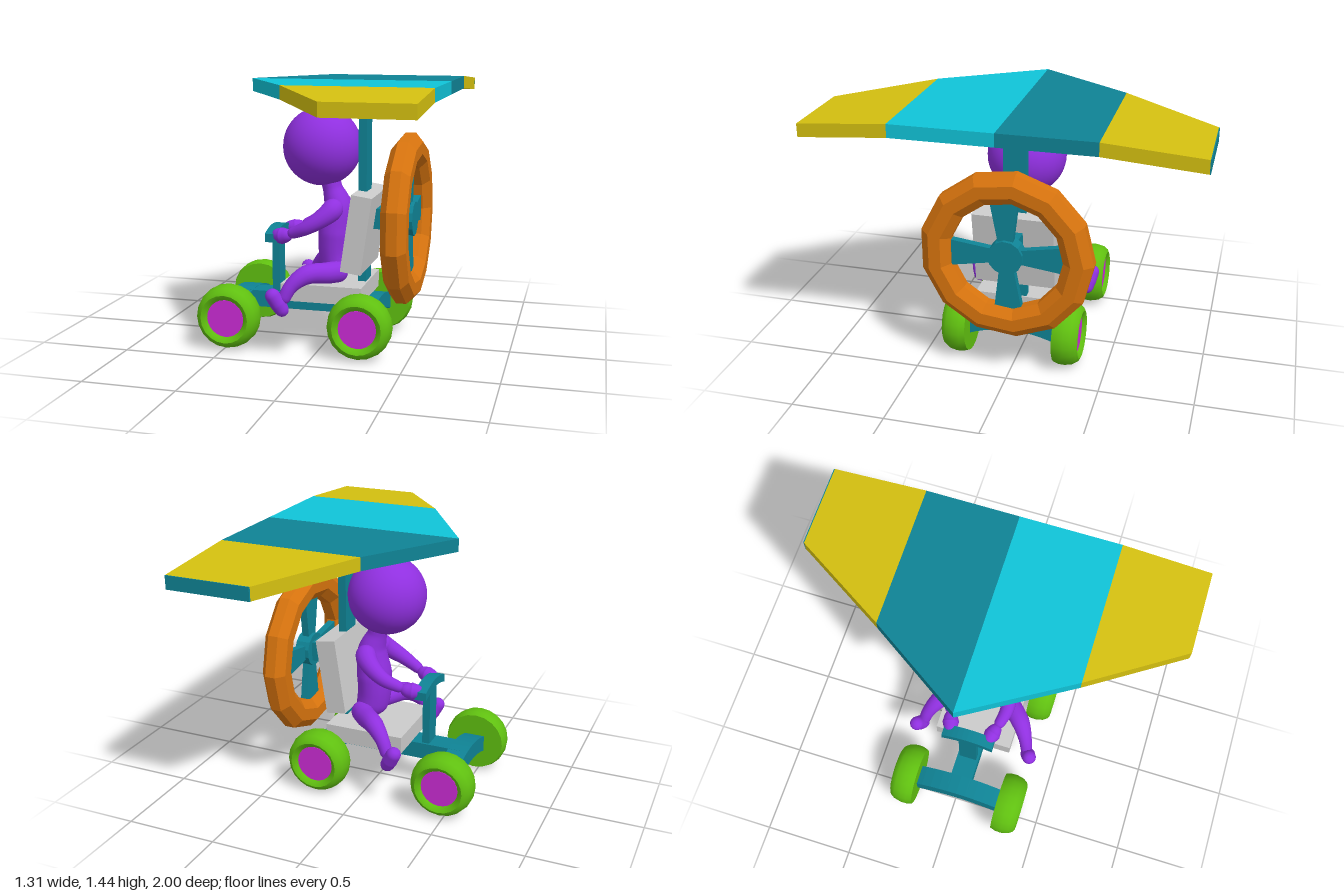
import * as THREE from 'three';
import { mergeVertices, toCreasedNormals } from 'three/addons/utils/BufferGeometryUtils.js';

const mat = (color, flatShading = false) => new THREE.MeshStandardMaterial({ color, flatShading });
const TEAL = mat(0x0f8395), CYAN = mat(0x10c4d8), YELLOW = mat(0xd4c010), GREY = mat(0xcccccc);
const GREEN = mat(0x60c010), MAGENTA = mat(0xcc2cd6), PURPLE = mat(0x9030e0), ORANGE = mat(0xd8740e, true);

function add(parent, name, geometry, material, x = 0, y = 0, z = 0) {
  const mesh = new THREE.Mesh(geometry, material);
  mesh.name = name;
  mesh.position.set(x, y, z);
  parent.add(mesh);
  return mesh;
}

const box = (w, h, d) => new THREE.BoxGeometry(w, h, d);

// Rounded tube whose radius follows a list, flattened or widened along z
function limb(points, radii, widen = 1) {
  const n = 36, sides = 16;
  const curve = new THREE.CatmullRomCurve3(points.map(p => new THREE.Vector3(...p)));
  const g = new THREE.TubeGeometry(curve, n, 1, sides);
  const pos = g.attributes.position, len = curve.getLength(), v = new THREE.Vector3();
  for (let i = 0; i <= n; i++) {
    const u = i / n, c = curve.getPointAt(u);
    const t = curve.getUtoTmapping(u) * (radii.length - 1);
    const k = Math.min(Math.floor(t), radii.length - 2);
    let r = THREE.MathUtils.lerp(radii[k], radii[k + 1], t - k);
    const d = Math.min(u, 1 - u) * len;
    if (d < r) r *= Math.sqrt(Math.max(0, 1 - (1 - d / r) ** 2));
    for (let j = 0; j <= sides; j++) {
      const id = i * (sides + 1) + j;
      v.fromBufferAttribute(pos, id).sub(c).multiplyScalar(r);
      v.z *= widen;
      v.add(c);
      pos.setXYZ(id, v.x, v.y, v.z);
    }
  }
  g.deleteAttribute('uv');
  g.deleteAttribute('normal');
  const smooth = mergeVertices(g, 1e-5);
  smooth.computeVertexNormals();
  return smooth;
}

// Bar across the vehicle that droops towards both ends
function archBar(half, drop, thick, depth) {
  const n = 10, top = [], bottom = [];
  for (let i = 0; i <= n; i++) {
    const s = (i / n) * 2 - 1, y = -drop * s * s;
    top.push(new THREE.Vector2(s * half, y));
    bottom.unshift(new THREE.Vector2(s * half, y - thick));
  }
  const g = new THREE.ExtrudeGeometry(new THREE.Shape([...top, ...bottom]), { depth, bevelEnabled: false });
  return g.translate(0, 0, -depth / 2).rotateY(Math.PI / 2);
}

// Slab of wing from plan corners [x, z]; the outer parts slope down
function wingPanel(corners) {
  const shape = new THREE.Shape(corners.map(([x, z]) => new THREE.Vector2(x, -z)));
  const g = new THREE.ExtrudeGeometry(shape, { depth: 0.07, bevelEnabled: false }).rotateX(-Math.PI / 2);
  const pos = g.attributes.position;
  for (let i = 0; i < pos.count; i++) {
    const z = pos.getZ(i), kink = z > 0 ? 0.535 : 0.495;
    pos.setY(i, pos.getY(i) - 0.037 * Math.max(0, (Math.abs(z) - kink) / (1 - kink)));
  }
  g.computeVertexNormals();
  return g;
}

function makeWheel() {
  const wheel = new THREE.Group();
  const profile = [[0, -0.07], [0.163, -0.07], [0.173, -0.04], [0.174, -0.005], [0.165, 0.035],
    [0.148, 0.06], [0.132, 0.068], [0.115, 0.06], [0.1, 0.04]].map(p => new THREE.Vector2(...p));
  add(wheel, 'tyre', toCreasedNormals(new THREE.LatheGeometry(profile, 20), 0.8), GREEN);
  add(wheel, 'hub', new THREE.CylinderGeometry(0.102, 0.102, 0.02, 24), MAGENTA, 0, 0.036, 0);
  return wheel;
}

function makeWing() {
  const wing = new THREE.Group();
  wing.name = 'wing';
  wing.position.y = 1.375;
  const back = 0.655, tip = 0.21, kink = -0.11, nose = -0.435, e = 0.995;
  const panels = [
    ['leftInnerPanel', CYAN, [[nose, 0], [kink, 0.535], [back, 0.535], [back, 0]]],
    ['rightInnerPanel', TEAL, [[nose, 0], [kink, -0.495], [back, -0.495], [back, 0]]],
    ['leftOuterPanel', YELLOW, [[kink, 0.535], [tip, 1], [back, 1], [back, 0.535]]],
    ['rightOuterPanel', YELLOW, [[kink, -0.495], [tip - 0.003, -e], [back, -e], [back, -0.495]]],
    ['rightTipEdge', TEAL, [[tip - 0.003, -e], [tip, -1], [back, -1], [back, -e]]],
  ];
  for (const [name, material, corners] of panels) add(wing, name, wingPanel(corners), material);
  return wing;
}

function makePropeller() {
  const prop = new THREE.Group();
  prop.name = 'propeller';
  prop.position.set(0.437, 0.71, 0.006);
  // Thirteen-sided guard ring with an eight-sided section
  const section = [];
  for (let i = 0; i <= 8; i++) {
    const a = (i - 0.5) * Math.PI / 4, r = 0.08 / Math.cos(Math.PI / 8);
    section.push(new THREE.Vector2(0.38 + r * Math.cos(a), 0.84 * r * Math.sin(a)));
  }
  const ring = new THREE.LatheGeometry(section, 13, Math.PI).rotateZ(Math.PI / 2);
  add(prop, 'guardRing', ring, ORANGE);
  // Hub and flared blades
  const hub = new THREE.CylinderGeometry(0.093, 0.093, 0.08, 13).rotateZ(Math.PI / 2);
  add(prop, 'propellerHub', toCreasedNormals(hub, 0.3), TEAL);
  const outline = [[-0.035, 0.05], [0.035, 0.05], [0.078, 0.33], [-0.078, 0.33]];
  const shape = new THREE.Shape(outline.map(p => new THREE.Vector2(...p)));
  const blade = new THREE.ExtrudeGeometry(shape, { depth: 0.04, bevelEnabled: false })
    .translate(0, 0, -0.02).rotateY(Math.PI / 2);
  for (let i = 0; i < 4; i++) add(prop, 'blade', blade, TEAL).rotation.x = i * Math.PI / 2 + 0.03;
  return prop;
}

function makeRider() {
  const rider = new THREE.Group();
  rider.name = 'rider';
  add(rider, 'head', new THREE.SphereGeometry(0.213, 32, 24), PURPLE, -0.036, 1.087, 0);
  add(rider, 'torso', limb(
    [[0.0, 0.95, 0], [0.022, 0.86, 0], [0.052, 0.76, 0], [0.04, 0.62, 0], [0.04, 0.5, 0], [0.07, 0.37, 0]],
    [0.055, 0.052, 0.078, 0.095, 0.09, 0.09], 1.2), PURPLE);
  for (const s of [1, -1]) {
    add(rider, 'arm', limb(
      [[0.055, 0.79, s * 0.05], [0.04, 0.75, s * 0.11], [-0.07, 0.67, s * 0.16], [-0.19, 0.615, s * 0.135]],
      [0.055, 0.058, 0.04, 0.028]), PURPLE);
    add(rider, 'hand', limb([[-0.17, 0.62, s * 0.14], [-0.23, 0.605, s * 0.12], [-0.29, 0.61, s * 0.105]],
      [0.028, 0.046, 0.03]), PURPLE);
    add(rider, 'leg', limb(
      [[0.11, 0.415, s * 0.05], [0.03, 0.42, s * 0.15], [-0.06, 0.425, s * 0.24],
        [-0.13, 0.37, s * 0.29], [-0.175, 0.28, s * 0.315]],
      [0.06, 0.058, 0.052, 0.038, 0.032]), PURPLE);
    add(rider, 'foot', limb([[-0.155, 0.215, s * 0.31], [-0.19, 0.28, s * 0.328], [-0.235, 0.36, s * 0.35]],
      [0.034, 0.042, 0.038]), PURPLE);
  }
  return rider;
}

export function createModel() {
  const model = new THREE.Group();
  model.name = 'propellerBuggy';
  const buggy = new THREE.Group();
  buggy.name = 'buggy';
  buggy.position.z = 0.018;

  // Frame
  add(buggy, 'mainBeam', box(0.78, 0.092, 0.125), TEAL, -0.1, 0.225, 0);
  add(buggy, 'wingPost', box(0.045, 1.18, 0.124), TEAL, 0.203, 0.79, 0);
  add(buggy, 'steeringPost', box(0.042, 0.37, 0.1), TEAL, -0.289, 0.42, 0);
  add(buggy, 'handlebar', archBar(0.145, 0.03, 0.046, 0.066), TEAL, -0.288, 0.645, 0);
  add(buggy, 'propellerMount', box(0.2, 0.11, 0.11), TEAL, 0.33, 0.71, 0);

  // Axles and wheels
  for (const [name, x, y] of [['front', -0.48, 0.185], ['rear', 0.245, 0.18]]) {
    add(buggy, name + 'Axle', archBar(0.26, 0.055, 0.092, 0.11), TEAL, x, 0.274, 0);
    for (const s of [1, -1]) {
      const wheel = makeWheel();
      wheel.name = name + 'Wheel';
      wheel.position.set(x, y, s * 0.31);
      wheel.rotation.x = s * Math.PI / 2;
      buggy.add(wheel);
    }
  }

  // Seat
  add(buggy, 'seat', box(0.445, 0.095, 0.44), GREY, 0.013, 0.317, 0);
  add(buggy, 'backrest', box(0.112, 0.418, 0.44), GREY, 0.204, 0.649, 0).rotation.z = -0.143;

  buggy.add(makeRider());
  model.add(buggy, makePropeller(), makeWing());
  return model;
}
